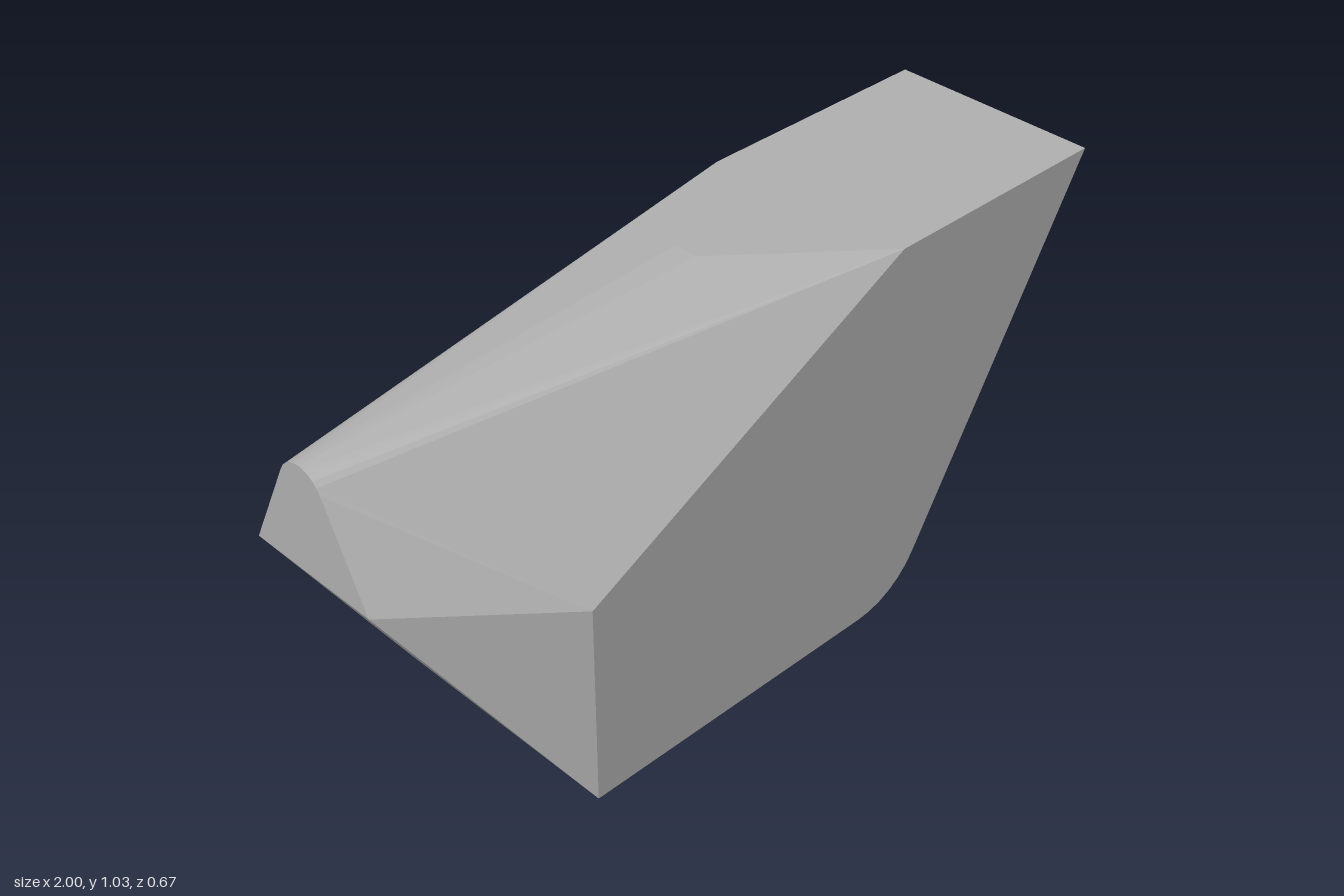
import * as THREE from 'three';
import { ConvexGeometry } from 'three/addons/geometries/ConvexGeometry.js';

// Points along a circular arc, returned as [u, v] pairs
function arc(cu, cv, r, from, to, steps) {
  return Array.from({ length: steps + 1 }, (_, i) => {
    const a = THREE.MathUtils.degToRad(from + ((to - from) * i) / steps);
    return [cu + r * Math.cos(a), cv + r * Math.sin(a)];
  });
}

export function createModel() {
  const group = new THREE.Group();
  group.name = 'facetedBlock';
  const grey = new THREE.MeshStandardMaterial({ color: 0xb0b0b0 });
  grey.name = 'grey';

  const points = [];
  const add = (x, y, z) => points.push(new THREE.Vector3(x, y, z));
  const FRONT = 0.335, BACK = -0.335, SHOULDER = -0.23, TOP = 1.035;

  // Flat top
  add(1, TOP, FRONT);
  add(1, TOP, SHOULDER);
  add(0.33, TOP, SHOULDER);
  add(0, TOP, -0.03);
  add(0, TOP, 0.035);
  add(0.35, TOP, FRONT);

  // Front and back walls
  add(-0.6, 0, FRONT);
  add(-0.6, 0.555, FRONT);
  add(-0.6, 0, BACK);
  add(-0.6, 0.555, BACK);
  add(0, 0, BACK);
  add(0, 0.7, BACK);

  // Rounded lower edge on the sloping right-hand end
  for (const [x, y] of arc(0.269, 0.22, 0.22, -90, -30, 6)) {
    add(x, y, FRONT);
    add(x, y, SHOULDER);
  }

  // Narrow nose with a rounded ridge
  add(-1, 0.63, 0.1);
  add(-1, 0.63, -0.28);
  for (const [z, y] of arc(-0.09, 0.847, 0.073, 27, 153, 10)) add(-1, y, z);

  const body = new THREE.Mesh(new ConvexGeometry(points), grey);
  body.name = 'body';
  group.add(body);
  return group;
}
